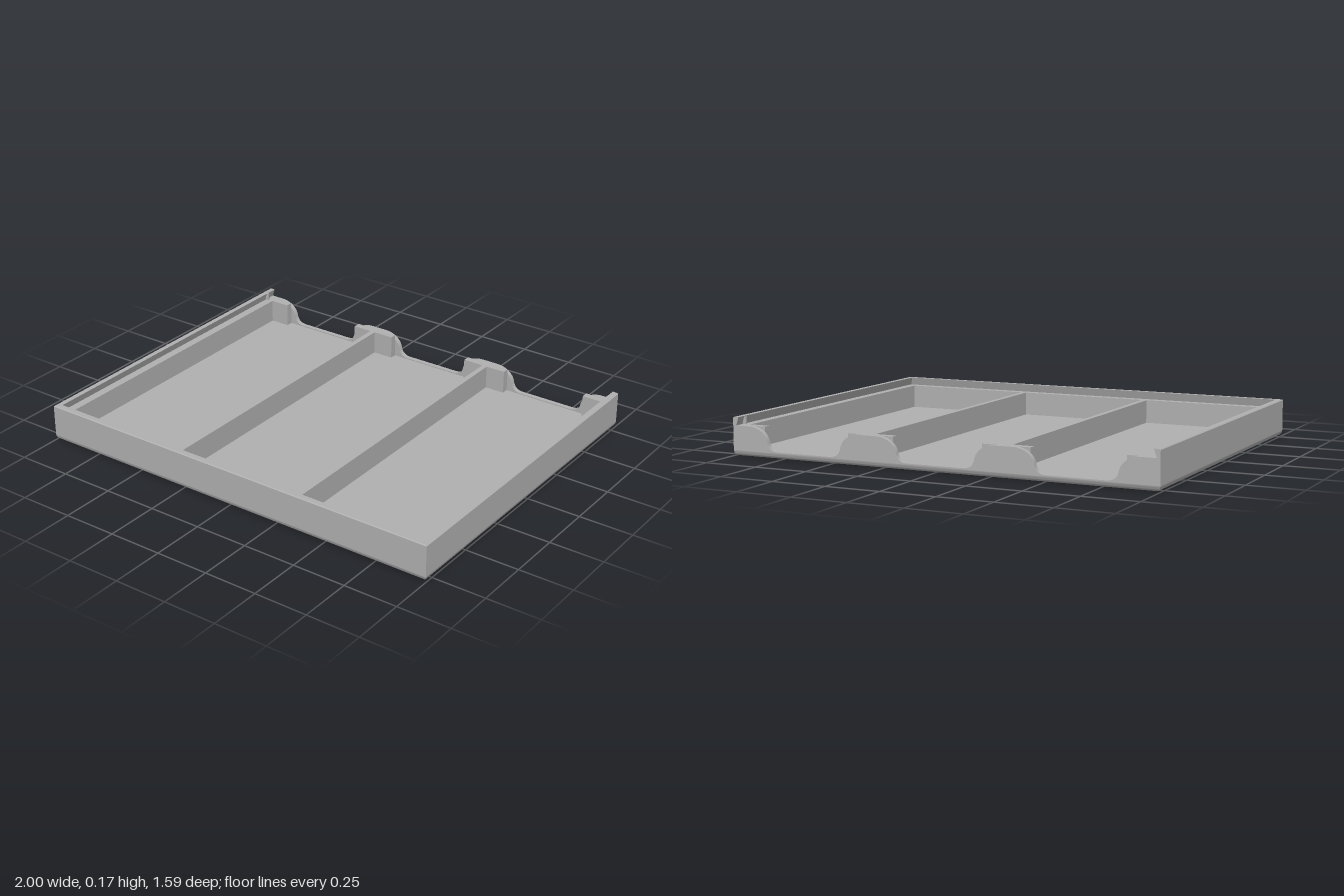
import * as THREE from 'three';
import { toCreasedNormals } from 'three/addons/utils/BufferGeometryUtils.js';

const HX = 1, HZ = 0.795;          // half width, half depth
const FLOOR = 0.025, LEDGE = 0.135, TOP = 0.172;
const INNER = 0.055;               // wall thickness down to the compartments
const BACK = 0.022;                // thickness of the scooped back wall

const grey = new THREE.MeshStandardMaterial({ color: 0xb0b0b0 });
grey.name = 'grey plastic';

// Sweeps an [inset, y] profile round the rectangle: left, front, right, and back if closed.
function sweep(profile, closed) {
  const pos = [];
  const point = (s, i) => {
    const [d, y] = profile[i];
    const x = (s % 4 < 2 ? -1 : 1) * (HX - d);
    const front = s % 4 === 1 || s % 4 === 2;
    return [x, y, front ? HZ - d : closed ? d - HZ : -HZ];
  };
  for (let s = 0; s < (closed ? 4 : 3); s++) {
    for (let i = 0; i < profile.length - 1; i++) {
      const a = point(s, i), b = point(s + 1, i), c = point(s + 1, i + 1), d = point(s, i + 1);
      pos.push(...a, ...b, ...c, ...a, ...c, ...d);
    }
  }
  const g = new THREE.BufferGeometry();
  g.setAttribute('position', new THREE.Float32BufferAttribute(pos, 3));
  return toCreasedNormals(g, 0.6);
}

export function createModel() {
  const tray = new THREE.Group();
  tray.name = 'slidingLidTray';
  const add = (name, geometry, x = 0, y = 0, z = 0) => {
    const mesh = new THREE.Mesh(geometry, grey);
    mesh.name = name;
    mesh.position.set(x, y, z);
    tray.add(mesh);
    return mesh;
  };
  // Box given by its limits
  const box = (name, x0, x1, y0, y1, z0, z1) =>
    add(name, new THREE.BoxGeometry(x1 - x0, y1 - y0, z1 - z0), (x0 + x1) / 2, (y0 + y1) / 2, (z0 + z1) / 2);

  // Floor slab with a rounded lower edge
  const floorProfile = [[HZ, 0]];
  for (let i = 0; i <= 6; i++) {
    const a = (i / 6) * Math.PI / 2;
    floorProfile.push([FLOOR * (1 - Math.sin(a)), FLOOR * (1 - Math.cos(a))]);
  }
  floorProfile.push([HZ, FLOOR]);
  add('floor', sweep(floorProfile, true));

  // Side and front walls with the undercut lid groove
  const wall = [[0, FLOOR], [0, TOP - 0.004], [0.004, TOP], [0.028, TOP], [0.016, LEDGE], [INNER, LEDGE], [INNER, FLOOR]];
  add('grooveWalls', sweep(wall, false));
  for (const side of [-1, 1]) {
    const outline = new THREE.Shape(wall.map(([d, y]) => new THREE.Vector2(-side * (HX - d), y)));
    add('wallEnd', new THREE.ShapeGeometry(outline).rotateY(Math.PI), 0, 0, -HZ);
    // Small lid catch in the groove
    add('lidCatch', new THREE.CylinderGeometry(0.01, 0.01, 0.034, 12), side * 0.977, LEDGE + 0.017, -0.74);
  }

  // Back wall with one finger scoop for each compartment
  const centres = [-0.64, 0, 0.64], LIP = 0.03;
  const back = new THREE.Shape();
  back.moveTo(HX - INNER, FLOOR);
  back.lineTo(HX - INNER, LEDGE);
  for (const c of [...centres].reverse()) {
    back.lineTo(c + 0.28, LEDGE);
    back.bezierCurveTo(c + 0.23, LEDGE, c + 0.195, 0.11, c + 0.185, 0.075);
    back.bezierCurveTo(c + 0.18, 0.045, c + 0.165, LIP, c + 0.13, LIP);
    back.lineTo(c - 0.13, LIP);
    back.bezierCurveTo(c - 0.165, LIP, c - 0.18, 0.045, c - 0.185, 0.075);
    back.bezierCurveTo(c - 0.195, 0.11, c - 0.23, LEDGE, c - 0.28, LEDGE);
  }
  back.lineTo(-HX + INNER, LEDGE);
  back.lineTo(-HX + INNER, FLOOR);
  const backGeometry = new THREE.ExtrudeGeometry(back, { depth: BACK, bevelEnabled: false, curveSegments: 10 });
  add('scoopedBackWall', toCreasedNormals(backGeometry, 0.6), 0, 0, -HZ);

  // Thicker blocks behind the back wall, at both ends of each compartment
  for (const c of centres) {
    const half = c === 0 ? 0.31 : 0.305;
    box('backBlock', c - half, c - 0.21, FLOOR, LEDGE, -HZ + BACK, -0.74);
    box('backBlock', c + 0.21, c + half, FLOOR, LEDGE, -HZ + BACK, -0.74);
  }

  // Dividers between the compartments
  for (const side of [-1, 1]) {
    const x = side * 0.3225;
    box('divider', x - 0.0125, x + 0.0125, FLOOR, LEDGE, -HZ + BACK, HZ - INNER);
  }
  return tray;
}
